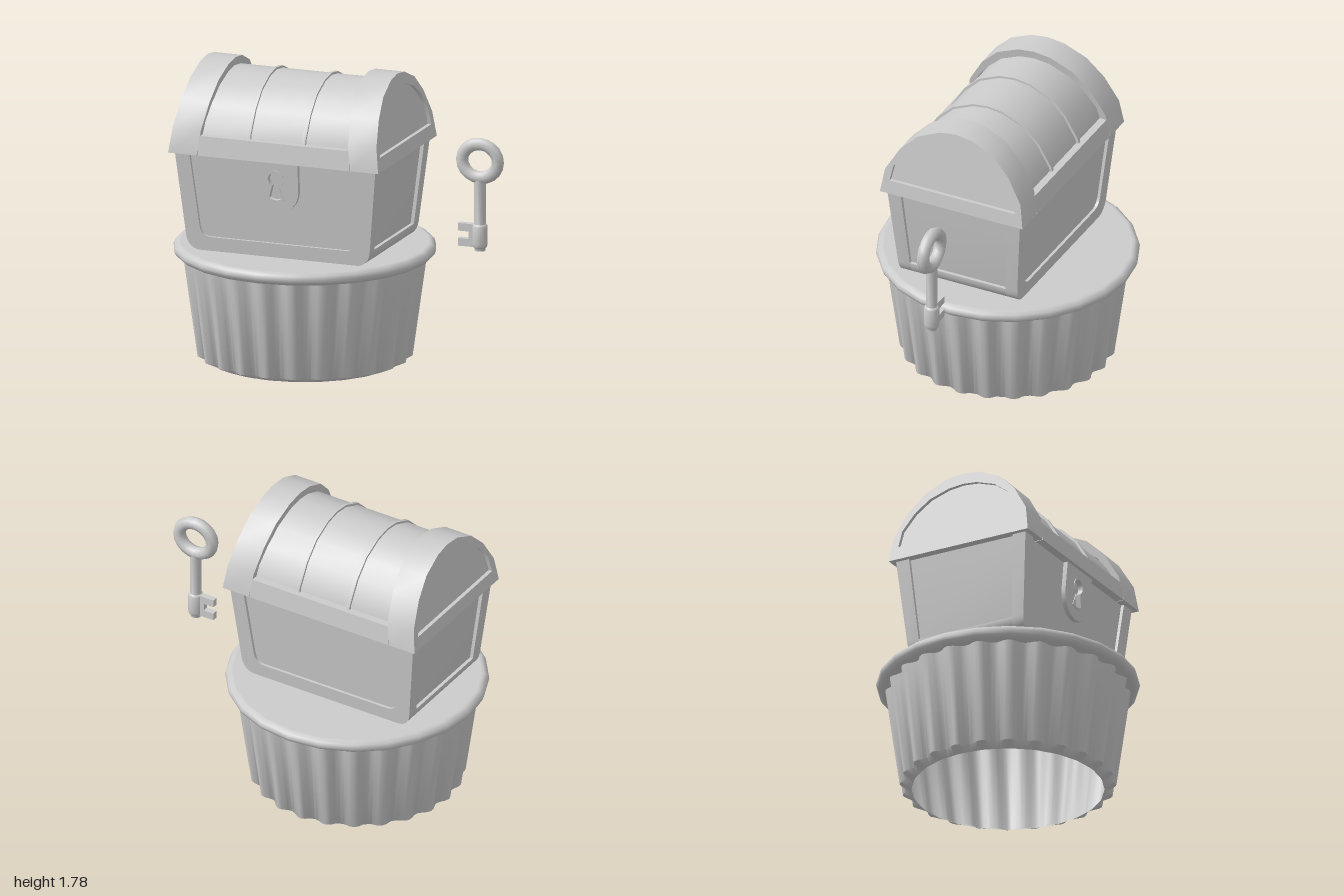
import * as THREE from 'three';
import { toCreasedNormals } from 'three/addons/utils/BufferGeometryUtils.js';

const material = new THREE.MeshStandardMaterial({ color: 0xcccccc, side: THREE.DoubleSide });

function add(parent, name, geometry, crease = 0.7) {
  const mesh = new THREE.Mesh(toCreasedNormals(geometry, crease), material);
  mesh.name = name;
  parent.add(mesh);
  return mesh;
}

// Straight extrusion of a shape from z0 to z1
function slab(shape, z0, z1) {
  return new THREE.ExtrudeGeometry(shape, { depth: z1 - z0, bevelEnabled: false, curveSegments: 6 }).translate(0, 0, z0);
}

function moveVertices(geometry, rule) {
  const p = geometry.attributes.position, v = new THREE.Vector3();
  for (let i = 0; i < p.count; i++) {
    rule(v.fromBufferAttribute(p, i));
    p.setXYZ(i, v.x, v.y, v.z);
  }
  return geometry;
}

// The chest gets deeper towards its top
const taper = (g) => moveVertices(g, (v) => { v.z *= 1 + 0.23 * (v.y - 0.7); });

// Outline of the chest front: open-top trough with rounded lower corners
function trough(top, wTop, bottom, wBottom, r) {
  const half = new THREE.Path();
  half.moveTo(wTop, top);
  half.lineTo(wBottom + 0.01, bottom + r);
  half.quadraticCurveTo(wBottom, bottom, wBottom - r, bottom);
  const right = half.getPoints(6);
  return [...right, ...right.map((p) => new THREE.Vector2(-p.x, p.y)).reverse()];
}

// Arched cross-section of the lid
function dome(w, y0, h) {
  const half = [[1, 0], [0.95, 0.31], [0.76, 0.62], [0.53, 0.84], [0.23, 0.97]];
  const right = half.map(([x, y]) => new THREE.Vector2(x * w, y0 + y * h));
  return [...right, new THREE.Vector2(0, y0 + h), ...right.map((p) => new THREE.Vector2(-p.x, p.y)).reverse()];
}

// Lid pieces run along x; 'lean' tips the end pieces inward with height
function lidPiece(shape, x0, x1, lean = 0) {
  return moveVertices(slab(shape, x0, x1).rotateY(Math.PI / 2), (v) => { v.x -= lean * (v.y - 1.295); });
}

function keyhole(o, target) {
  target.moveTo(0.02 + o, 1.15);
  target.absarc(0, 1.19, 0.043 + o, -1.1, Math.PI + 1.1, false);
  target.lineTo(-0.04 - o, 1.075 - o);
  target.quadraticCurveTo(0, 1.05 - o, 0.04 + o, 1.075 - o);
  target.closePath();
  return target;
}

function createCake() {
  const cake = new THREE.Group();
  cake.name = 'cake';
  cake.position.x = -0.23;

  // Rounded rim and flat top
  const rim = [[0.68, 0.63], [0.74, 0.63], [0.762, 0.647], [0.77, 0.668], [0.762, 0.69], [0.74, 0.705], [0.725, 0.705], [0, 0.705]];
  add(cake, 'cakeTop', new THREE.LatheGeometry(rim.map(([x, y]) => new THREE.Vector2(x, y)), 24), 0.9);

  // Softly pleated paper cup with a round opening underneath
  const rows = [[0.718, 0.65, 0.045], [0.632, 0.03, 0.035], [0.562, 0, 0.004]];
  const cup = moveVertices(new THREE.CylinderGeometry(1, 1, 2, 144, 2, true), (v) => {
    const [r, y, depth] = rows[Math.round(1 - v.y)];
    const a = Math.atan2(v.x, v.z);
    const radius = r - depth * (0.5 - 0.5 * Math.cos(24 * a));
    v.set(Math.sin(a) * radius, y, Math.cos(a) * radius);
  });
  add(cake, 'pleatedCup', cup, 0.95);
  return cake;
}

function createChestBody() {
  const body = new THREE.Group();
  body.name = 'chestBody';
  const outer = trough(1.295, 0.628, 0.703, 0.565, 0.09);
  const inner = trough(1.295, 0.538, 0.79, 0.478, 0.06);

  // Recessed panels on all four sides
  const core = trough(1.295, 0.606, 0.72, 0.545, 0.08);
  add(body, 'panels', taper(slab(new THREE.Shape(core), -0.364, 0.364)));

  // Front and back frames, joined by the bottom
  const frame = new THREE.Shape([...outer, ...inner.slice().reverse()]);
  add(body, 'frontFrame', taper(slab(frame, 0.305, 0.381)));
  add(body, 'backFrame', taper(slab(frame, -0.381, -0.305)));
  const bottom = trough(0.794, 0.575, 0.703, 0.565, 0.09);
  add(body, 'bottom', taper(slab(new THREE.Shape(bottom), -0.305, 0.305)));

  // Lock plate with a rimmed keyhole
  const plate = new THREE.Shape();
  plate.moveTo(-0.143, 1.295);
  plate.lineTo(-0.143, 1.125);
  plate.absarc(0, 1.125, 0.143, Math.PI, Math.PI * 2, false);
  plate.lineTo(0.143, 1.295);
  plate.holes.push(keyhole(0, new THREE.Path()));
  add(body, 'lockPlate', taper(slab(plate, 0.355, 0.389)));
  const ring = keyhole(0.012, new THREE.Shape());
  ring.holes.push(keyhole(0, new THREE.Path()));
  add(body, 'keyholeRim', taper(slab(ring, 0.365, 0.393)));
  return body;
}

function createLid() {
  const lid = new THREE.Group();
  lid.name = 'lid';
  const outline = dome(0.465, 1.295, 0.485);

  // Broad end bands with a recessed arched panel
  const band = new THREE.Shape(outline);
  band.holes.push(new THREE.Path(dome(0.408, 1.378, 0.33)));
  const panel = new THREE.Shape(dome(0.435, 1.31, 0.44));
  for (const [side, turn] of [['left', 0], ['right', Math.PI]]) {
    add(lid, side + 'Band', lidPiece(band, 0.48, 0.658, 0.13)).rotation.y = turn;
    add(lid, side + 'EndPanel', lidPiece(panel, 0.59, 0.635, 0.13)).rotation.y = turn;
  }

  // Curved top and its ribs
  add(lid, 'barrel', lidPiece(new THREE.Shape(dome(0.42, 1.3, 0.43)), -0.5, 0.5));
  const rib = new THREE.Shape(dome(0.436, 1.3, 0.443));
  for (const x of [-0.172, 0.172]) add(lid, 'rib', lidPiece(rib, x - 0.011, x + 0.011));

  // Lower rail between the bands
  const w = 0.447;
  const rail = new THREE.Shape([[0.465, 1.295], [w, 1.41], [-w, 1.41], [-0.465, 1.295]].map(([x, y]) => new THREE.Vector2(x, y)));
  add(lid, 'rail', lidPiece(rail, -0.475, 0.475));
  return lid;
}

function createKey() {
  const key = new THREE.Group();
  key.name = 'key';
  key.position.set(0.849, 0, -0.046);

  // Oval bow of even thickness
  const bow = moveVertices(new THREE.TorusGeometry(0.112, 0.038, 8, 20), (v) => {
    v.y += 1.28 - 0.011 * Math.sin(Math.atan2(v.y, v.x));
  });
  add(key, 'bow', bow, 1.2);

  // Shaft, collar and tip turned in one profile
  const profile = [[0, 0.74], [0.032, 0.74], [0.034, 0.757], [0.042, 0.762], [0.045, 0.78], [0.045, 0.885], [0.04, 0.897], [0.034, 0.9], [0.034, 1.17]];
  add(key, 'shaft', new THREE.LatheGeometry(profile.map(([x, y]) => new THREE.Vector2(x, y)), 12), 0.9);

  // Two teeth
  for (const y of [0.783, 0.874]) {
    add(key, 'tooth', new THREE.BoxGeometry(0.11, 0.046, 0.036).translate(-0.077, y, 0));
  }
  add(key, 'toothRoot', new THREE.BoxGeometry(0.045, 0.1, 0.036).translate(-0.043, 0.83, 0));
  return key;
}

export function createModel() {
  const model = new THREE.Group();
  model.name = 'chestCupcake';
  const chest = new THREE.Group();
  chest.name = 'chest';
  chest.position.set(-0.23, 0, 0.039);
  chest.add(createChestBody(), createLid());
  model.add(createCake(), chest, createKey());
  return model;
}
